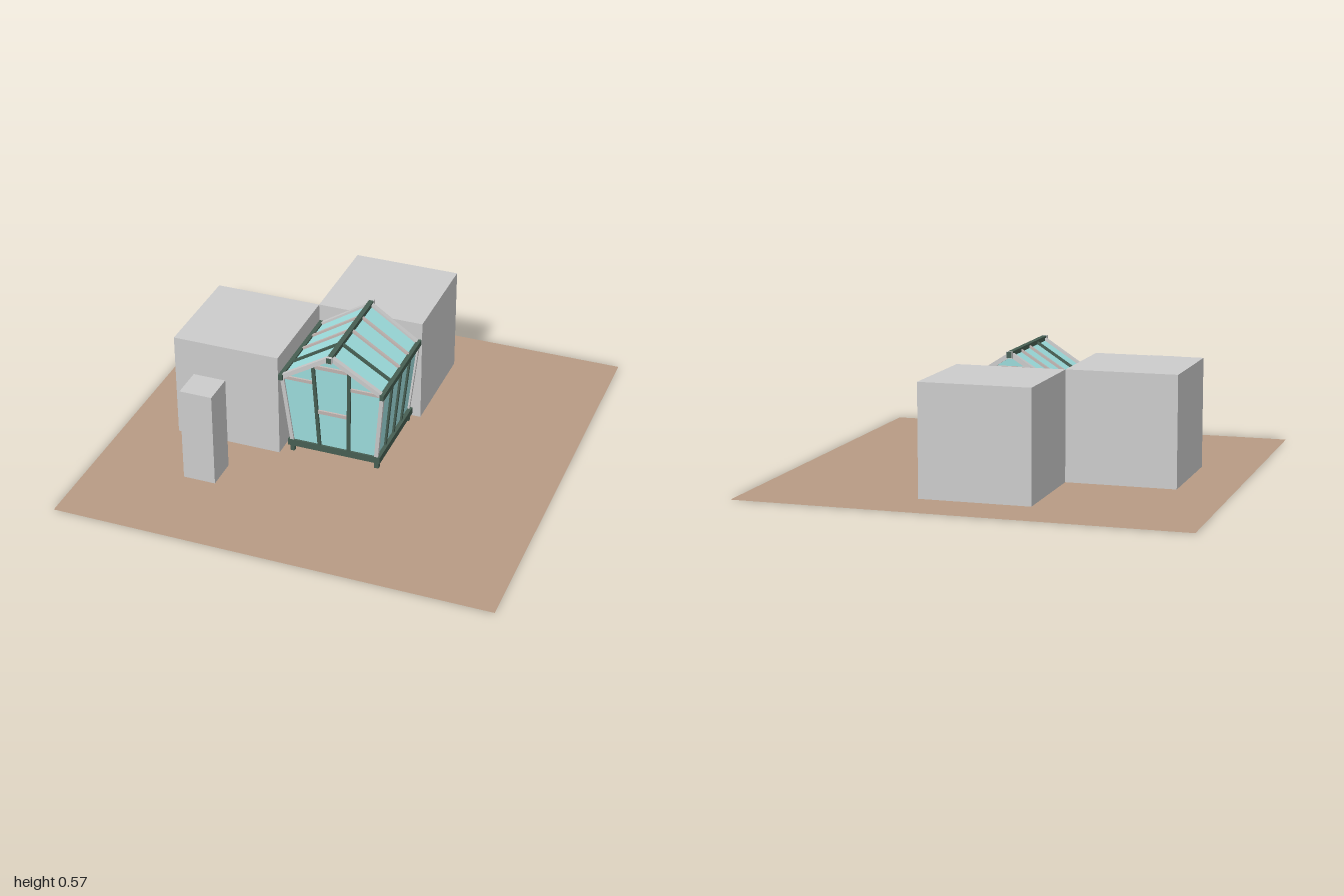
import * as THREE from 'three';

const paint = (color, side = THREE.FrontSide) =>
  new THREE.MeshStandardMaterial({ color, side, flatShading: true });

export function createModel() {
  const model = new THREE.Group();
  const grey = paint(0xcccccc);
  const green = paint(0x465e52);
  const trim = paint(0xc4b8b4);
  const glass = paint(0x9fe0e0, THREE.DoubleSide);
  const soil = paint(0xb89b84, THREE.DoubleSide);
  const V = (x, y, z) => new THREE.Vector3(x, y, z);

  const add = (parent, name, geometry, material) => {
    const mesh = new THREE.Mesh(geometry, material);
    mesh.name = name;
    parent.add(mesh);
    return mesh;
  };
  const block = (parent, name, w, h, d, x, y, z, material) =>
    add(parent, name, new THREE.BoxGeometry(w, h, d), material).position.set(x, y, z);

  // Square bar from a to b; its depth points along the given outward direction
  const beam = (parent, name, a, b, width, depth, outward, material) => {
    const dir = b.clone().sub(a);
    const length = dir.length();
    dir.normalize();
    const side = new THREE.Vector3().crossVectors(dir, outward).normalize();
    const out = new THREE.Vector3().crossVectors(side, dir);
    const mesh = add(parent, name, new THREE.BoxGeometry(width, length, depth), material);
    mesh.quaternion.setFromRotationMatrix(new THREE.Matrix4().makeBasis(side, dir, out));
    mesh.position.copy(a).add(b).multiplyScalar(0.5);
  };

  // Flat pane as a fan of triangles round its corners
  const pane = (parent, name, points) => {
    const corners = [];
    for (let i = 1; i < points.length - 1; i++) corners.push(points[0], points[i], points[i + 1]);
    const geometry = new THREE.BufferGeometry().setFromPoints(corners);
    geometry.computeVertexNormals();
    add(parent, name, geometry, glass);
  };

  // Ground and neighbouring buildings
  add(model, 'ground', new THREE.PlaneGeometry(2, 2).rotateX(-Math.PI / 2), soil);
  block(model, 'rearBuilding', 0.5, 0.5, 0.5, 0, 0.25, -0.5, grey);
  block(model, 'sideBuilding', 0.5, 0.5, 0.5, -0.5, 0.25, 0, grey);
  block(model, 'pillar', 0.15, 0.45, 0.15, -0.5, 0.225, 0.5, grey);

  // Greenhouse with walls that lean outwards
  const house = new THREE.Group();
  house.name = 'greenhouse';
  model.add(house);
  const baseY = 0.05, eaveY = 0.405, ridgeY = 0.555;
  const baseX = 0.2, eaveX = 0.235;
  const endZ = y => 0.206 + 0.072 * y;
  const wallX = y => baseX + (eaveX - baseX) * (y - baseY) / (eaveY - baseY);
  const roofY = x => ridgeY - (ridgeY - eaveY) * Math.abs(x) / eaveX;

  for (const s of [-1, 1]) {
    // Sills and feet
    block(house, 'sideSill', 0.022, 0.032, 0.44, s * 0.209, 0.048, 0, green);
    block(house, 'endSill', 0.44, 0.032, 0.022, 0, 0.048, s * 0.209, green);
    for (const t of [-1, 1])
      block(house, 'foot', 0.02, 0.04, 0.02, s * 0.202, 0.021, t * 0.204, green);

    // Side wall and roof slope
    const wallOut = V(s, -0.1, 0), roofOut = V(s * 0.15, 0.235, 0);
    block(house, 'eaveBeam', 0.02, 0.026, 0.51, s * (eaveX + 0.003), eaveY, 0, green);
    for (const k of [-1, -0.5, 0, 0.5, 1]) {
      const foot = V(s * baseX, baseY, k * endZ(baseY));
      const eave = V(s * eaveX, eaveY, k * endZ(eaveY));
      const ridge = V(0, ridgeY, k * endZ(ridgeY));
      const atEnd = Math.abs(k) === 1;
      beam(house, 'sidePost', foot, eave, 0.016, 0.018, wallOut, atEnd ? grey : green);
      beam(house, 'rafter', eave, ridge, atEnd ? 0.022 : 0.014, 0.02, roofOut,
        atEnd ? grey : k > 0 ? green : trim);
    }
    const ends = y => [endZ(y), -endZ(y)];
    const [b0, b1] = ends(baseY), [e0, e1] = ends(eaveY), [r0, r1] = ends(ridgeY);
    pane(house, 'sideGlass', [V(s * baseX, baseY, b0), V(s * baseX, baseY, b1),
      V(s * eaveX, eaveY, e1), V(s * eaveX, eaveY, e0)]);
    pane(house, 'roofGlass', [V(s * eaveX, eaveY, e0), V(s * eaveX, eaveY, e1),
      V(0, ridgeY, r1), V(0, ridgeY, r0)]);

    // Gable end with door posts and crossbars
    const at = (x, y) => V(x, y, s * endZ(y));
    const endOut = V(0, -0.07, s);
    pane(house, 'gableGlass', [at(-baseX, baseY), at(baseX, baseY), at(eaveX, eaveY),
      at(0, ridgeY), at(-eaveX, eaveY)]);
    for (const t of [-1, 1]) {
      beam(house, 'doorPost', at(t * 0.069, baseY), at(t * 0.085, roofY(0.085)),
        0.016, 0.018, endOut, green);
      beam(house, 'gableCrossbar', at(t * 0.082, eaveY), at(t * wallX(eaveY), eaveY),
        0.016, 0.016, endOut, trim);
    }
    beam(house, 'doorRail', at(-0.077, 0.25), at(0.077, 0.25), 0.018, 0.016, endOut, trim);
    beam(house, 'doorHead', at(-0.084, 0.493), at(0.084, 0.493), 0.018, 0.016, endOut, trim);
  }

  // Ridge
  block(house, 'ridgeBeam', 0.022, 0.026, 0.55, 0, 0.555, 0, green);
  for (const s of [-1, 1])
    block(house, 'ridgeCap', 0.026, 0.03, 0.014, 0, 0.554, s * 0.267, grey);

  return model;
}
